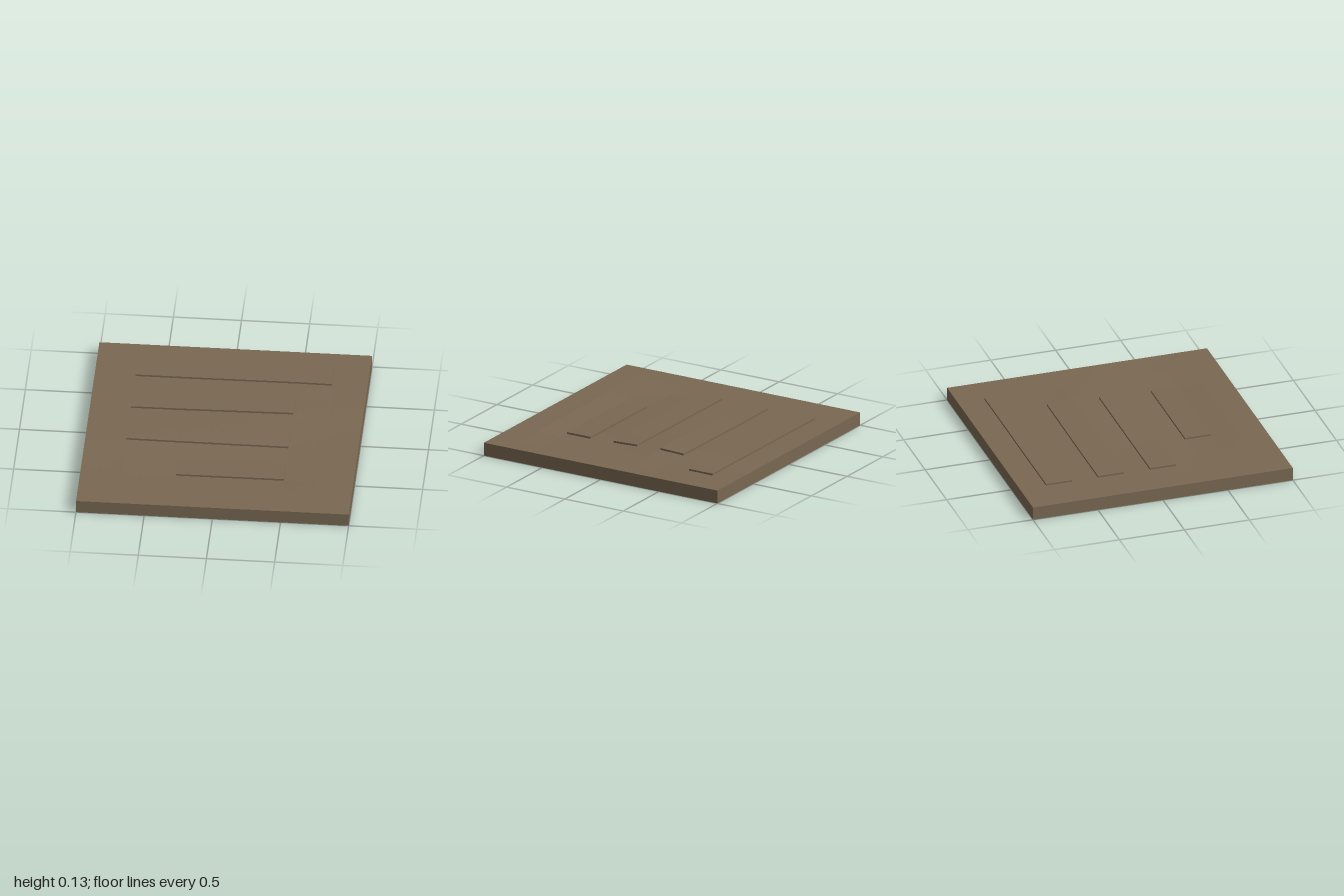
import * as THREE from 'three';

// Ground height at a few columns (x) and rows (z)
const COLS = [-1, -0.7, -0.3, 0.5, 0.75, 1];
const ROWS = [-1, -0.4, -0.2, 0, 0.2, 0.4, 0.6, 0.8, 1];
const HEIGHTS = [
  [0.1, 0.1, 0.1, 0.1, 0.1, 0.1],
  [0.1, 0.1, 0.1, 0.106, 0.102, 0.1],
  [0.1, 0.1, 0.102, 0.113, 0.105, 0.1],
  [0.1, 0.1, 0.1, 0.102, 0.101, 0.1],
  [0.1, 0.1, 0.097, 0.094, 0.097, 0.1],
  [0.1, 0.094, 0.086, 0.088, 0.096, 0.1],
  [0.1, 0.097, 0.086, 0.088, 0.097, 0.1],
  [0.1, 0.1, 0.099, 0.1, 0.1, 0.1],
  [0.1, 0.1, 0.1, 0.1, 0.1, 0.1],
];

function locate(list, v) {
  let i = 0;
  while (i < list.length - 2 && v > list[i + 1]) i++;
  return [i, THREE.MathUtils.clamp((v - list[i]) / (list[i + 1] - list[i]), 0, 1)];
}

function groundHeight(x, z) {
  const [c, u] = locate(COLS, x);
  const [r, v] = locate(ROWS, z);
  const mix = THREE.MathUtils.lerp;
  return mix(mix(HEIGHTS[r][c], HEIGHTS[r][c + 1], u),
    mix(HEIGHTS[r + 1][c], HEIGHTS[r + 1][c + 1], u), v);
}

// Box whose top follows the ground, raised by lift; its bottom sits at bottom(x, z)
function drapedBox(x0, x1, z0, z1, segX, segZ, lift, bottom) {
  const geo = new THREE.BoxGeometry(x1 - x0, 1, z1 - z0, segX, 1, segZ);
  geo.translate((x0 + x1) / 2, 0, (z0 + z1) / 2);
  const p = geo.attributes.position;
  for (let i = 0; i < p.count; i++) {
    const x = p.getX(i), z = p.getZ(i);
    p.setY(i, p.getY(i) > 0 ? groundHeight(x, z) + lift : bottom(x, z));
  }
  geo.computeVertexNormals();
  return geo;
}

export function createModel() {
  const model = new THREE.Group();
  const earth = new THREE.MeshStandardMaterial({ color: 0x7a6852 });
  earth.name = 'earthBrown';
  earth.flatShading = true;

  const add = (name, geo) => {
    const mesh = new THREE.Mesh(geo, earth);
    mesh.name = name;
    model.add(mesh);
  };

  // Square slab with a gently uneven top
  add('groundSlab', drapedBox(-1, 1, -1, 1, 40, 20, 0, () => 0));

  // Raised beds: left end, right end, back edge
  const beds = [[-0.7, 0.74, -0.8], [-0.7, 0.49, -0.4], [-0.7, 0.49, 0], [-0.3, 0.49, 0.4]];
  beds.forEach(([x0, x1, z0], i) => {
    add(`raisedBed${i + 1}`,
      drapedBox(x0, x1, z0, z0 + 0.2, 16, 2, 0.014, (x, z) => groundHeight(x, z) - 0.01));
  });

  return model;
}
